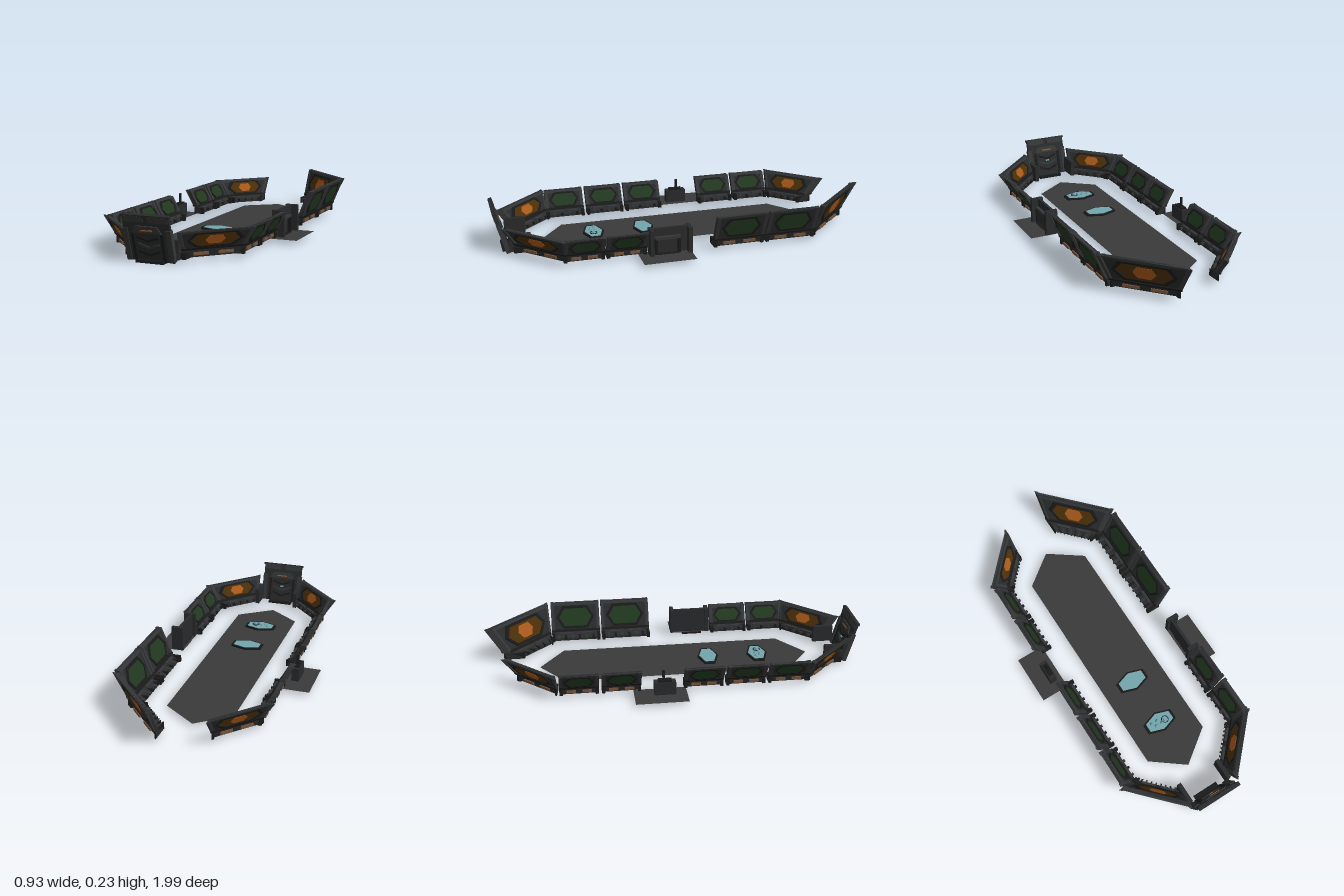
import * as THREE from 'three';

const paint = (name, color, side = THREE.FrontSide) => {
  const m = new THREE.MeshStandardMaterial({ color, side, flatShading: true });
  m.name = name;
  return m;
};
const MAT = {
  deck: paint('deckGrey', 0x3a3a3a, THREE.DoubleSide),
  hull: paint('hullCharcoal', 0x292a2b),
  trim: paint('trimGrey', 0x353637),
  dark: paint('nearBlack', 0x1a1a1b),
  green: paint('paneGreen', 0x21391f),
  amber: paint('paneAmber', 0x4c3008),
  orange: paint('glowOrange', 0xab5a1c),
  brown: paint('pipeBrown', 0x735238),
  teal: paint('screenTeal', 0x74a5ad),
};

function add(parent, name, geo, mat, x = 0, y = 0, z = 0) {
  const mesh = new THREE.Mesh(geo, mat);
  mesh.name = name;
  mesh.position.set(x, y, z);
  parent.add(mesh);
  return mesh;
}
const box = (w, h, d) => new THREE.BoxGeometry(w, h, d);
const poly = (pts) => new THREE.Shape(pts.map(([x, y]) => new THREE.Vector2(x, y)));
const extrude = (shape, depth) => new THREE.ExtrudeGeometry(shape, { depth, bevelEnabled: false });
// Long panel with clipped corners, centred on the origin
const panelPts = (w, h, cut) => [[-w, 0], [-w + cut, -h], [w - cut, -h], [w, 0], [w - cut, h], [-w + cut, h]];

// One wall bay between two plan points. Local axes: x = inward, y = up, z = along the wall.
// mitreA / mitreB shorten the ends of the bay as it goes inward.
function wallBay(parent, name, A, B, h, kind, mitreA = 0, mitreB = 0) {
  const bay = new THREE.Group();
  bay.name = name;
  parent.add(bay);
  const L = Math.hypot(B[0] - A[0], B[1] - A[1]);
  const dx = (B[0] - A[0]) / L, dz = (B[1] - A[1]) / L;
  const tall = h > 0.18, lean = tall ? 0.06 : 0.05, depth = tall ? 0.135 : 0.105, foot = 0.06;
  const slope = (y) => lean * (h - y) / (h - foot);

  const place = (part, geo, mat, follow = false) => {
    const p = geo.attributes.position;
    for (let i = 0; i < p.count; i++) {
      let o = p.getX(i), y = p.getY(i), u = p.getZ(i);
      if (follow) o += slope(y);
      const t = u / L;
      u += o * (mitreA * (1 - t) - mitreB * t);
      p.setXYZ(i, A[0] + dx * u + dz * o, y, A[1] + dz * u - dx * o);
    }
    geo.computeVertexNormals();
    add(bay, part, geo, mat);
  };
  const block = (part, o, y, u, w, hh, d, mat, follow) =>
    place(part, box(w, hh, d).translate(o, y, u), mat, follow);

  // Leaning upper wall and the foot below it
  place('leaningWall', extrude(poly([[0.003, h], [lean + 0.003, foot], [lean + 0.02, foot], [0.02, h]]), L), MAT.hull);
  place('wallFoot', extrude(poly([[lean, foot], [lean + 0.012, 0.022], [depth - 0.01, 0.022],
    [depth - 0.01, 0.035], [lean + 0.04, 0.045], [lean + 0.02, foot]]), L), MAT.hull);

  // End ribs, top rail and sill
  for (const u of [0.009, L - 0.009]) {
    block('endRib', 0.011, (h + foot) / 2, u, 0.03, h - foot, 0.018, MAT.trim, true);
    block('footRib', (lean + depth) / 2, 0.037, u, depth - lean, 0.034, 0.016, MAT.dark);
  }
  block('topRail', 0.011, h - 0.006, L / 2, 0.022, 0.012, L, MAT.trim, true);
  block('sill', 0.011, foot + 0.004, L / 2, 0.034, 0.01, L, MAT.dark, true);

  // Framed panes on both faces
  const yc = (h + foot) / 2, ph = (h - foot) * 0.4, pw = L * (kind === 'orange' ? 0.40 : 0.39);
  const cut = kind === 'orange' ? pw * 0.3 : pw * 0.35;
  const plate = (part, w, hh, c, mat, lift, inner, ring) => {
    const s = poly(panelPts(w, hh, c));
    if (ring) s.holes.push(new THREE.Path(panelPts(w * 0.88, hh * 0.8, c * 0.88).map(([x, y]) => new THREE.Vector2(x, y))));
    const geo = extrude(s, lift).rotateY(-Math.PI / 2);
    geo.translate(inner ? 0.02 + lift : 0.003, yc, L / 2);
    place(part, geo, mat, true);
  };
  for (const inner of [false, true]) {
    plate('paneFrame', pw, ph, cut, MAT.dark, 0.007, inner, true);
    if (kind === 'orange') {
      plate('amberPane', pw * 0.88, ph * 0.8, cut * 0.88, MAT.amber, 0.003, inner);
      plate('glowCore', pw * 0.36, ph * 0.58, pw * 0.14, MAT.orange, 0.005, inner);
    } else {
      plate('greenPane', pw * 0.85, ph * 0.85, cut * 0.8, MAT.green, 0.004, inner);
    }
  }

  // Pipe strips under the panel and machinery along the inner ledge
  for (const f of [0.3, 0.7]) {
    block('pipeStrip', lean + 0.003, 0.04, L * f, 0.012, 0.014, L * 0.24, MAT.brown);
    block('ledgePipe', lean + 0.035, 0.05, L * f, 0.014, 0.01, L * 0.28, MAT.trim);
  }
  const n = Math.round(L / 0.04);
  for (let i = 1; i < n; i++)
    block('ledgeRib', (lean + depth) / 2 + 0.012, 0.038, L * i / n, depth - lean - 0.026, 0.014, 0.012, i % 2 ? MAT.dark : MAT.trim);
}

// Leaning gate at the front, decorated on both faces
function gate(parent) {
  const g = new THREE.Group();
  g.name = 'frontGate';
  g.position.set(-0.008, 0.012, 0.915);
  g.rotation.x = 0.28;
  parent.add(g);
  add(g, 'gateSlab', box(0.235, 0.225, 0.014), MAT.hull, 0, 0.112, 0.008);
  for (const s of [-1, 1]) {
    add(g, 'gatePost', box(0.026, 0.16, 0.024), MAT.trim, s * 0.108, 0.08, 0.008);
    add(g, 'gateInnerPost', box(0.014, 0.14, 0.022), MAT.dark, s * 0.073, 0.07, 0.008);
    add(g, 'gateTopBlock', box(0.1, 0.03, 0.022), MAT.trim, s * 0.062, 0.208, 0.008);
  }
  add(g, 'gateCap', box(0.245, 0.012, 0.02), MAT.hull, 0, 0.222, 0.008);
  add(g, 'gateLintel', extrude(poly([[-0.075, 0.14], [0.075, 0.14], [0.055, 0.175], [-0.055, 0.175]]), 0.026), MAT.trim, 0, 0, -0.005);
  add(g, 'gateLight', box(0.06, 0.006, 0.032), MAT.orange, 0, 0.155, 0.008);
  const v = poly([[-0.055, 0.02], [0, 0], [0.055, 0.02], [0.055, 0.032], [0, 0.012], [-0.055, 0.032]]);
  for (let i = 0; i < 3; i++)
    add(g, 'chevron', extrude(v, 0.022), i === 1 ? MAT.trim : MAT.dark, 0, 0.025 + i * 0.035, -0.003);
  add(g, 'rearLamp', box(0.02, 0.008, 0.006), MAT.teal, 0, 0.09, -0.002);
  add(parent, 'gateStep', box(0.14, 0.012, 0.06), MAT.dark, -0.008, 0.006, 0.92);
  for (const s of [-1, 1]) {
    add(parent, 'gateFin', box(0.022, 0.09, 0.11), MAT.hull, -0.005 + s * 0.118, 0.065, 0.865);
    add(parent, 'gateFinFoot', box(0.035, 0.03, 0.06), MAT.dark, -0.005 + s * 0.135, 0.035, 0.87);
  }
}

// Low six-sided table with a screen on top
function table(parent, z, busy) {
  const g = new THREE.Group();
  g.name = 'displayTable';
  g.position.set(-0.01, 0.018, z);
  parent.add(g);
  const slab = (name, w, d, c, t, mat, y) =>
    add(g, name, extrude(poly(panelPts(w, d, c)), t).rotateX(-Math.PI / 2), mat, 0, y, 0);
  const hex = (s) => [[-0.085, -0.028], [0, -0.056], [0.085, -0.028], [0.085, 0.028], [0, 0.056], [-0.085, 0.028]].map(([x, y]) => [x * s, y * s]);
  slab('tableBase', 0.06, 0.03, 0.02, 0.006, MAT.hull, 0);
  add(g, 'tableRim', extrude(poly(hex(1)), 0.01).rotateX(-Math.PI / 2), MAT.dark, 0, 0.004, 0);
  add(g, 'tableScreen', extrude(poly(hex(0.84)), 0.004).rotateX(-Math.PI / 2), MAT.teal, 0, 0.012, 0);
  if (!busy) return;
  add(g, 'screenRing', new THREE.TorusGeometry(0.018, 0.002, 6, 20).rotateX(-Math.PI / 2), MAT.dark, 0.03, 0.018, 0.005);
  add(g, 'screenDisc', new THREE.CylinderGeometry(0.009, 0.012, 0.012, 10), MAT.teal, 0.03, 0.021, 0.005);
  for (let i = 0; i < 4; i++)
    add(g, 'screenRelief', new THREE.ConeGeometry(0.012, 0.016, 5), MAT.teal, -0.045 + i * 0.017, 0.023, (i % 2 ? 0.012 : -0.01));
}

export function createModel() {
  const root = new THREE.Group();
  root.name = 'commandDeck';

  // Long six-sided floor
  const floor = poly([[-0.01, 0.71], [0.17, 0.58], [0.17, -0.61], [-0.01, -0.74], [-0.18, -0.61], [-0.18, 0.58]]);
  add(root, 'floor', new THREE.ShapeGeometry(floor).rotateX(-Math.PI / 2), MAT.deck, 0, 0.018, 0);
  table(root, 0.195, false);
  table(root, 0.465, true);

  // Straight walls: low bays, and two tall ones on the rear left
  for (const [z0, z1] of [[0.68, 0.475], [0.465, 0.26]])
    wallBay(root, 'leftLowBay', [0.39, z0], [0.39, z1], 0.152, 'green');
  for (const [z0, z1] of [[-0.09, -0.36], [-0.37, -0.64]])
    wallBay(root, 'leftTallBay', [0.412, z0], [0.412, z1], 0.205, 'green');
  for (const [z0, z1] of [[-0.615, -0.415], [-0.4, -0.2], [0.02, 0.225], [0.24, 0.445], [0.46, 0.67]])
    wallBay(root, 'rightLowBay', [-0.385, z0], [-0.385, z1], 0.152, 'green');

  // Diagonal corner walls
  wallBay(root, 'frontLeftCorner', [0.135, 0.955], [0.4, 0.68], 0.152, 'orange', 0.8, 0.7);
  wallBay(root, 'frontRightCorner', [-0.4, 0.68], [-0.14, 0.955], 0.152, 'orange', 0.7, 0.8);
  wallBay(root, 'rearLeftCorner', [0.412, -0.66], [0.1, -0.99], 0.205, 'orange', 0.7, 1.05);
  wallBay(root, 'rearRightCorner', [-0.15, -0.9], [-0.395, -0.635], 0.152, 'orange', 1.0, 0.7);
  gate(root);

  // Left landing with its recessed doorway
  const landing = (name, x, z) => add(root, name, new THREE.PlaneGeometry(0.15, 0.27).rotateX(-Math.PI / 2), MAT.deck, x, 0.02, z);
  landing('leftLanding', 0.388, 0.168);
  add(root, 'doorwayWall', box(0.014, 0.135, 0.22), MAT.hull, 0.335, 0.0875, 0.142);
  for (const z of [0.042, 0.24])
    add(root, 'doorwayReturn', box(0.065, 0.135, 0.02), MAT.hull, 0.345, 0.0875, z);
  add(root, 'doorwayLintel', box(0.03, 0.014, 0.13), MAT.trim, 0.345, 0.105, 0.155);
  for (const z of [0.095, 0.215])
    add(root, 'doorwayJamb', box(0.03, 0.08, 0.014), MAT.dark, 0.345, 0.06, z);
  add(root, 'doorwayStep', box(0.04, 0.02, 0.11), MAT.dark, 0.345, 0.012, 0.155);

  // Right landing with a low kiosk and a slim post
  landing('rightLanding', -0.395, -0.105);
  add(root, 'kiosk', box(0.04, 0.07, 0.11), MAT.hull, -0.37, 0.055, -0.083);
  add(root, 'kioskTop', box(0.03, 0.01, 0.07), MAT.dark, -0.37, 0.094, -0.083);
  add(root, 'kioskPost', box(0.01, 0.06, 0.012), MAT.dark, -0.37, 0.12, -0.09);
  return root;
}
